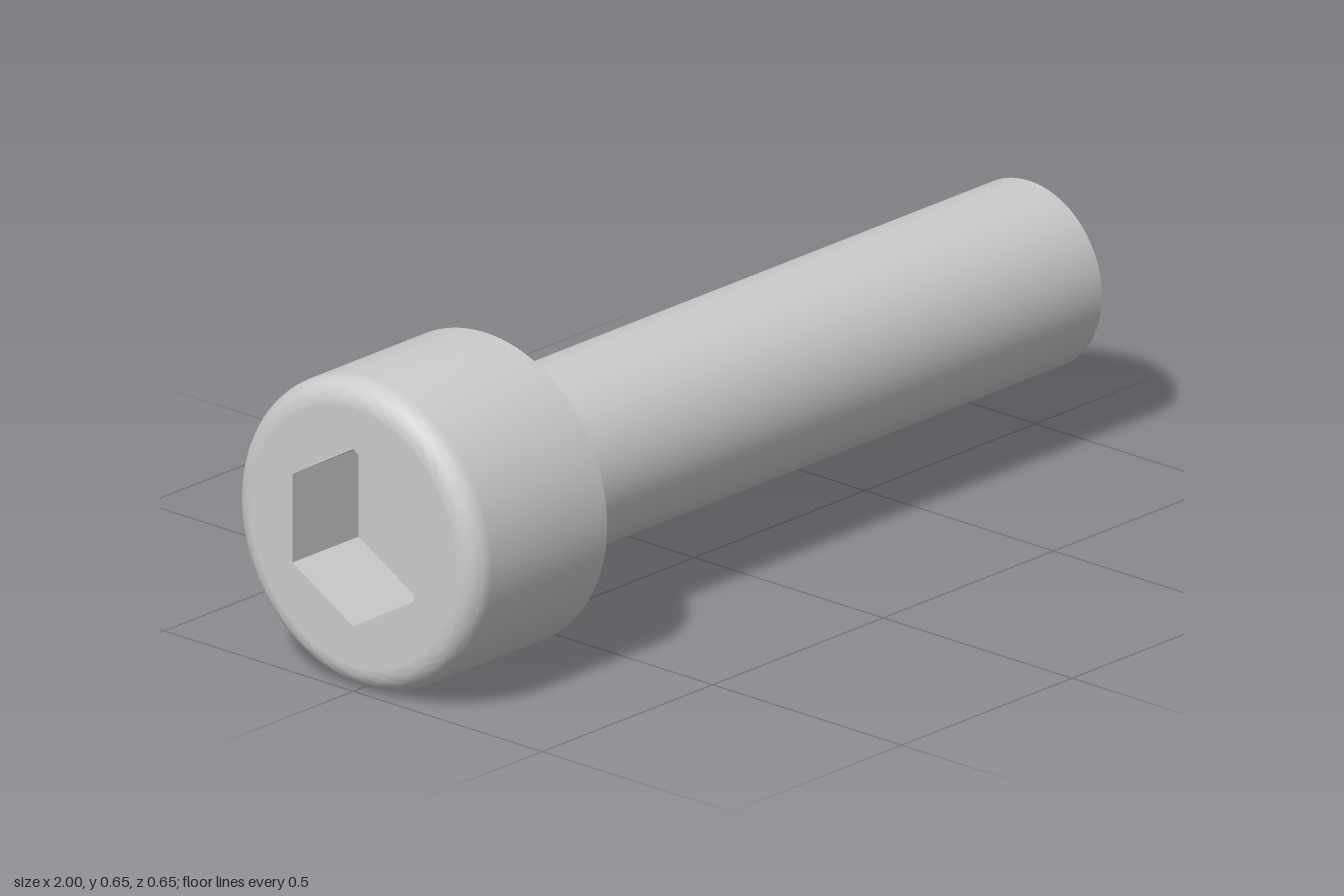
import * as THREE from 'three';
import { toCreasedNormals } from 'three/addons/utils/BufferGeometryUtils.js';

const SEGMENTS = 96;
const HEAD_R = 0.3226, SHANK_R = 0.1935, FILLET = 0.05, CHAMFER = 0.0185;
const HEAD_END = -1, HEAD_BASE = -0.613, TIP = 1;
const SOCKET_R = 0.1862, SOCKET_FLOOR = -0.806;

// Turn a [radius, x] profile around the x axis
function turned(profile, segments = SEGMENTS, start = 0) {
  const points = profile.map(([r, x]) => new THREE.Vector2(r, x));
  const geometry = new THREE.LatheGeometry(points, segments, start, Math.PI * 2);
  return toCreasedNormals(geometry.rotateZ(-Math.PI / 2), 0.5);
}

export function createModel() {
  const bolt = new THREE.Group();
  bolt.name = 'socketHeadBolt';
  const material = new THREE.MeshStandardMaterial({ color: 0xcccccc });
  const add = (name, geometry, parent) => {
    const mesh = new THREE.Mesh(geometry, material);
    mesh.name = name;
    parent.add(mesh);
  };

  const head = new THREE.Group();
  head.name = 'head';
  bolt.add(head);

  // Head side with a rounded outer edge, and its flat underside
  const headProfile = [];
  for (let i = 0; i <= 10; i++) {
    const a = (i / 10) * Math.PI / 2;
    headProfile.push([
      HEAD_R - FILLET + FILLET * Math.sin(a),
      HEAD_END + FILLET - FILLET * Math.cos(a),
    ]);
  }
  headProfile.push([HEAD_R, HEAD_BASE], [SHANK_R, HEAD_BASE]);
  add('headBody', turned(headProfile), head);

  // End face with a hexagonal opening, one corner up
  const face = new THREE.Shape();
  face.absarc(0, 0, HEAD_R - FILLET, 0, Math.PI * 2, false);
  const hexagon = [];
  for (let i = 0; i < 6; i++) {
    const a = Math.PI / 2 - i * Math.PI / 3;
    hexagon.push(new THREE.Vector2(SOCKET_R * Math.cos(a), SOCKET_R * Math.sin(a)));
  }
  face.holes.push(new THREE.Path(hexagon));
  const faceGeometry = new THREE.ShapeGeometry(face, SEGMENTS);
  faceGeometry.rotateY(-Math.PI / 2).translate(HEAD_END, 0, 0);
  add('headFace', faceGeometry, head);

  // Hexagonal key socket: floor and inward-facing walls
  add('hexSocket', turned(
    [[0, SOCKET_FLOOR], [SOCKET_R, SOCKET_FLOOR], [SOCKET_R, HEAD_END]], 6, Math.PI / 2), head);

  // Plain shank with a chamfered tip
  add('shank', turned([
    [SHANK_R, HEAD_BASE], [SHANK_R, TIP - CHAMFER], [SHANK_R - CHAMFER, TIP], [0, TIP],
  ]), bolt);

  // Rest the head on the ground
  bolt.children.forEach((part) => { part.position.y = HEAD_R; });
  return bolt;
}
